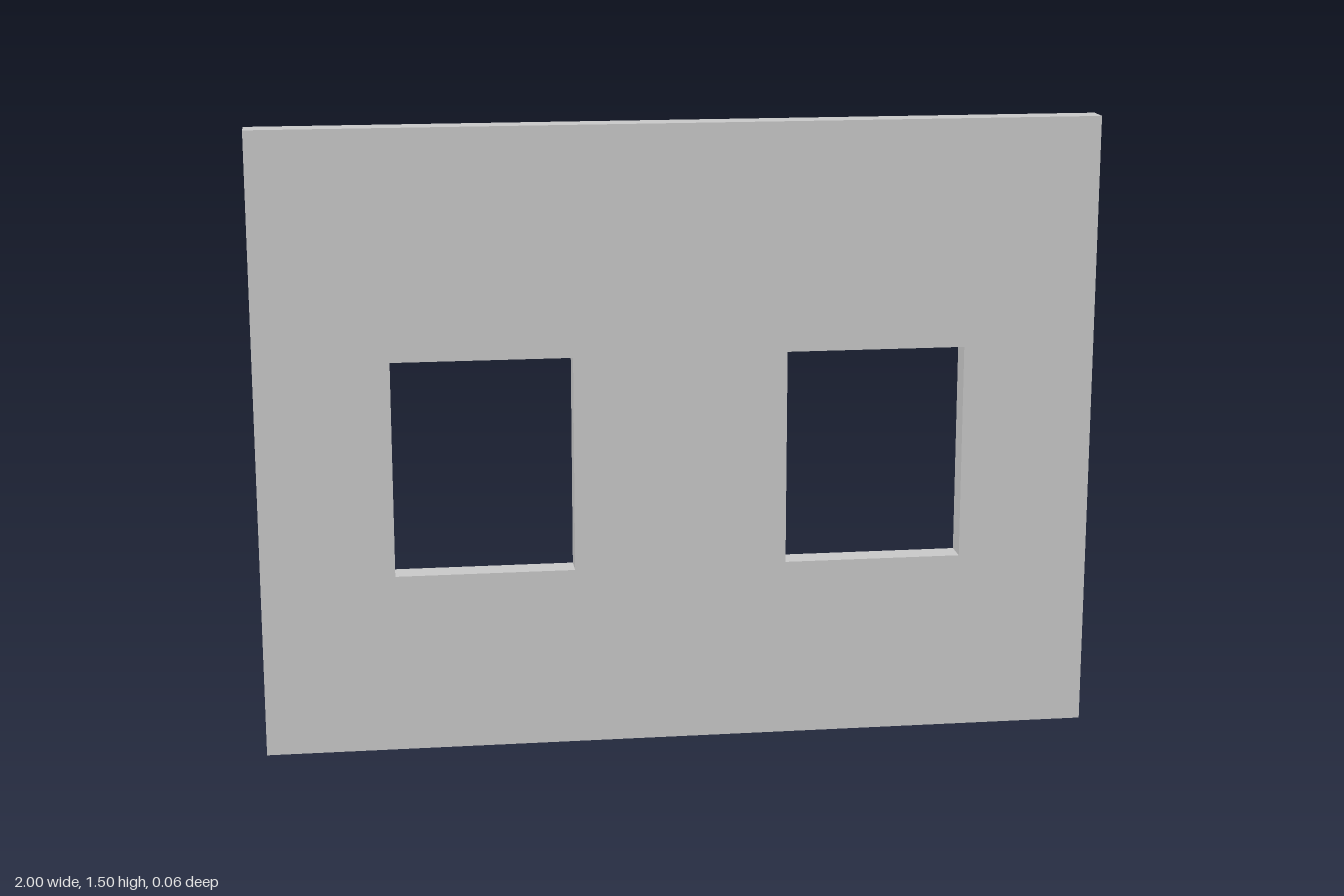
import * as THREE from 'three';

const WIDTH = 2, HEIGHT = 1.5, DEPTH = 0.062;

// Rectangle outline from its edges
function rectangle(PathType, left, right, bottom, top) {
  const path = new PathType();
  path.moveTo(left, bottom);
  path.lineTo(right, bottom);
  path.lineTo(right, top);
  path.lineTo(left, top);
  path.closePath();
  return path;
}

export function createModel() {
  const group = new THREE.Group();
  group.name = 'windowWall';

  // Wall panel with two mirrored window openings
  const outline = rectangle(THREE.Shape, -WIDTH / 2, WIDTH / 2, 0, HEIGHT);
  for (const side of [-1, 1]) {
    outline.holes.push(rectangle(THREE.Path, side * 0.255, side * 0.683, 0.434, 0.953));
  }
  const geometry = new THREE.ExtrudeGeometry(outline, { depth: DEPTH, bevelEnabled: false });
  geometry.translate(0, 0, -DEPTH / 2);

  const wall = new THREE.Mesh(geometry, new THREE.MeshStandardMaterial({ color: 0xcccccc }));
  wall.name = 'wall';
  group.add(wall);
  return group;
}
